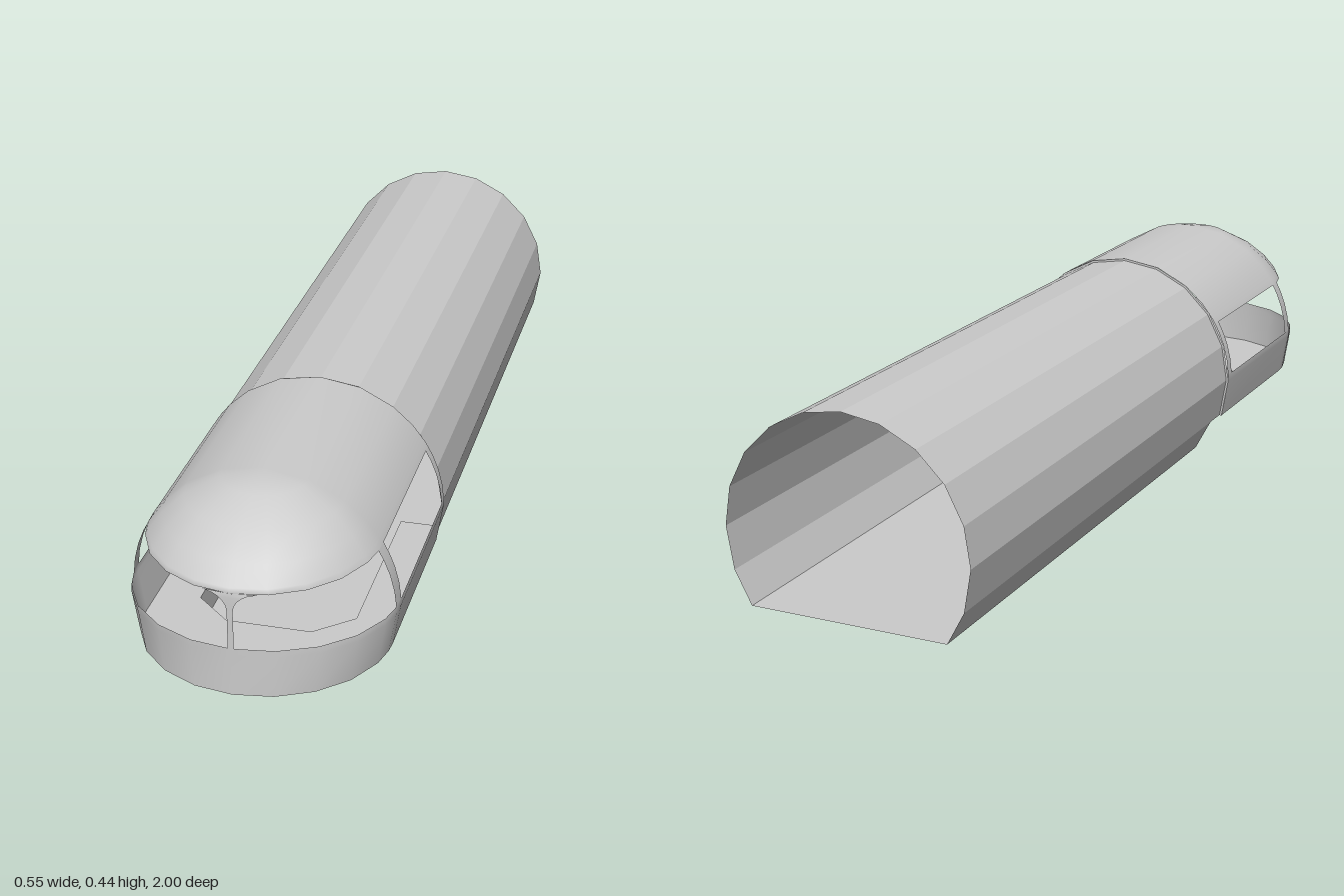
import * as THREE from 'three';
import { mergeVertices } from 'three/addons/utils/BufferGeometryUtils.js';

const smooth = new THREE.MeshStandardMaterial({ color: 0xcccccc, side: THREE.DoubleSide });
const flat = new THREE.MeshStandardMaterial({ color: 0xcccccc, side: THREE.DoubleSide, flatShading: true });

const CY = 0.16;          // height of the hull axis
const R_HULL = 0.27;      // rear hull radius
const R_CAB = 0.275;      // cab radius
const FLOOR = 0.07;       // cab floor height
const CAB_BACK = 0.33, NOSE = 0.75, STEP = 0.27;

const halfWidth = (y, r) => Math.sqrt(Math.max(0, r * r - (y - CY) ** 2));

// Grid surface through point(u, v) for every u and v in the lists
function patch(name, us, vs, point, material = smooth) {
  const pos = [], index = [], n = us.length;
  for (const v of vs) for (const u of us) pos.push(...point(u, v));
  for (let j = 0; j < vs.length - 1; j++) {
    for (let i = 0; i < n - 1; i++) {
      const a = j * n + i, b = a + 1, c = a + n, d = c + 1;
      index.push(a, b, d, a, d, c);
    }
  }
  let g = new THREE.BufferGeometry();
  g.setAttribute('position', new THREE.Float32BufferAttribute(pos, 3));
  g.setIndex(index);
  g = mergeVertices(g, 1e-5);
  g.computeVertexNormals();
  const mesh = new THREE.Mesh(g, material);
  mesh.name = name;
  return mesh;
}

// Horizontal plate from [x, z] corners
function plate(name, corners, y) {
  const shape = new THREE.Shape(corners.map(([x, z]) => new THREE.Vector2(x, z)));
  const g = new THREE.ShapeGeometry(shape).rotateX(Math.PI / 2).translate(0, y, 0);
  const mesh = new THREE.Mesh(g, flat);
  mesh.name = name;
  return mesh;
}

// Nose depth shrinks from the brow up to the roof ridge
const brow = [[0.31, 0.25], [0.345, 0.215], [0.383, 0.16], [0.42, 0.085], [0.435, 0]];
function noseDepth(y) {
  if (y <= brow[0][0]) return brow[0][1];
  for (let i = 1; i < brow.length; i++) {
    const [y0, d0] = brow[i - 1], [y1, d1] = brow[i];
    if (y <= y1) return d0 + (d1 - d0) * (y - y0) / (y1 - y0);
  }
  return 0;
}

// Cab skin: u within 90 degrees runs round the nose, beyond that back along the side
function cabPoint(u, y) {
  const w = halfWidth(y, R_CAB), a = Math.abs(u), s = Math.sign(u);
  if (a > 90) return [s * w, y, NOSE - (a - 90) / 90 * (NOSE - CAB_BACK)];
  const t = THREE.MathUtils.degToRad(a);
  return [s * w * Math.sin(t), y, NOSE + noseDepth(y) * Math.cos(t)];
}

export function createModel() {
  const model = new THREE.Group();
  model.name = 'model';

  // Cab skin with window openings
  const cab = new THREE.Group();
  cab.name = 'cab';
  const half = [18, 36, 54, 72, 83, 90, 180];
  const around = [...half.map(u => -u).reverse(), 0, ...half];
  const windowLevels = [0.175, 0.21, 0.245, 0.275, 0.298];
  cab.add(patch('cabSill', around, [FLOOR, CY, 0.175], cabPoint));
  cab.add(patch('cabRoof', around, [0.298, 0.31, 0.345, 0.383, 0.42, 0.435], cabPoint));
  for (const s of [1, -1]) {
    const order = (a, b) => (s > 0 ? [a, b] : [-b, -a]);
    cab.add(patch('windowPost', s > 0 ? [83, 90, 91] : [-91, -90, -83], windowLevels, cabPoint));
    cab.add(patch('rearWindowPost', order(175, 180), windowLevels, cabPoint));
  }

  // Windshield pillar flaring into the brow
  const pillarLevels = [0.172, 0.258, 0.27, 0.28, 0.288, 0.294, 0.298];
  cab.add(patch('windshieldPillar', [-1, 0, 1], pillarLevels, (k, y) => {
    const t = Math.max(0, (y - 0.258) / 0.04);
    const h = 0.006 + 0.05 * (1 - Math.sqrt(Math.max(0, 1 - t * t)));
    return cabPoint(k * THREE.MathUtils.radToDeg(Math.asin(h / halfWidth(y, R_CAB))), y);
  }));

  // Cab floor around the sunken well
  const well = [[-0.167, STEP], [-0.167, 0.68], [-0.09, NOSE], [0.09, NOSE], [0.167, 0.68], [0.167, STEP]];
  const edge = halfWidth(FLOOR, R_HULL);
  const rim = around.map(u => { const p = cabPoint(u, FLOOR); return [p[0], p[2]]; });
  cab.add(plate('cabFloor', [
    [-edge, STEP], [-edge, CAB_BACK], ...rim, [edge, CAB_BACK], [edge, STEP],
    ...[...well].reverse(),
  ], FLOOR));
  model.add(cab);

  // Rear hull: faceted tube, open at the back
  const hull = new THREE.Group();
  hull.name = 'hull';
  const arc = [];
  const start = Math.asin((FLOOR - CY) / R_HULL);
  for (const a of [start, 0, ...[1, 2, 3, 4].map(i => i * Math.PI / 10)]) arc.push(a);
  const full = [...arc, Math.PI / 2, ...arc.map(a => Math.PI - a).reverse()];
  hull.add(patch('hullSkin', [CAB_BACK, -1], full,
    (z, a) => [R_HULL * Math.cos(a), CY + R_HULL * Math.sin(a), z], flat));
  hull.add(patch('hullCabSeam', [R_CAB, R_HULL], full,
    (r, a) => [r * Math.cos(a), CY + r * Math.sin(a), CAB_BACK], flat));
  const foot = halfWidth(0, R_HULL);
  for (const s of [1, -1]) {
    const skirt = y => s * (y > 0 ? edge : foot);
    hull.add(patch('hullSkirt', s > 0 ? [STEP, -1] : [-1, STEP], [0, FLOOR],
      (z, y) => [skirt(y), y, z], flat));
    // Step face beside the well
    hull.add(patch('stepFace', s > 0 ? [0, 1] : [1, 0], [0, FLOOR],
      (k, y) => [k ? skirt(y) : s * 0.167, y, STEP], flat));
  }
  hull.add(plate('hullFloor', [[-foot, -1], [-foot, STEP], ...well, [foot, STEP], [foot, -1]], 0));
  hull.add(patch('wellWall', [0, 1, 2, 3, 4, 5], [0, FLOOR],
    (i, y) => [well[i][0], y, well[i][1]], flat));
  model.add(hull);

  return model;
}
